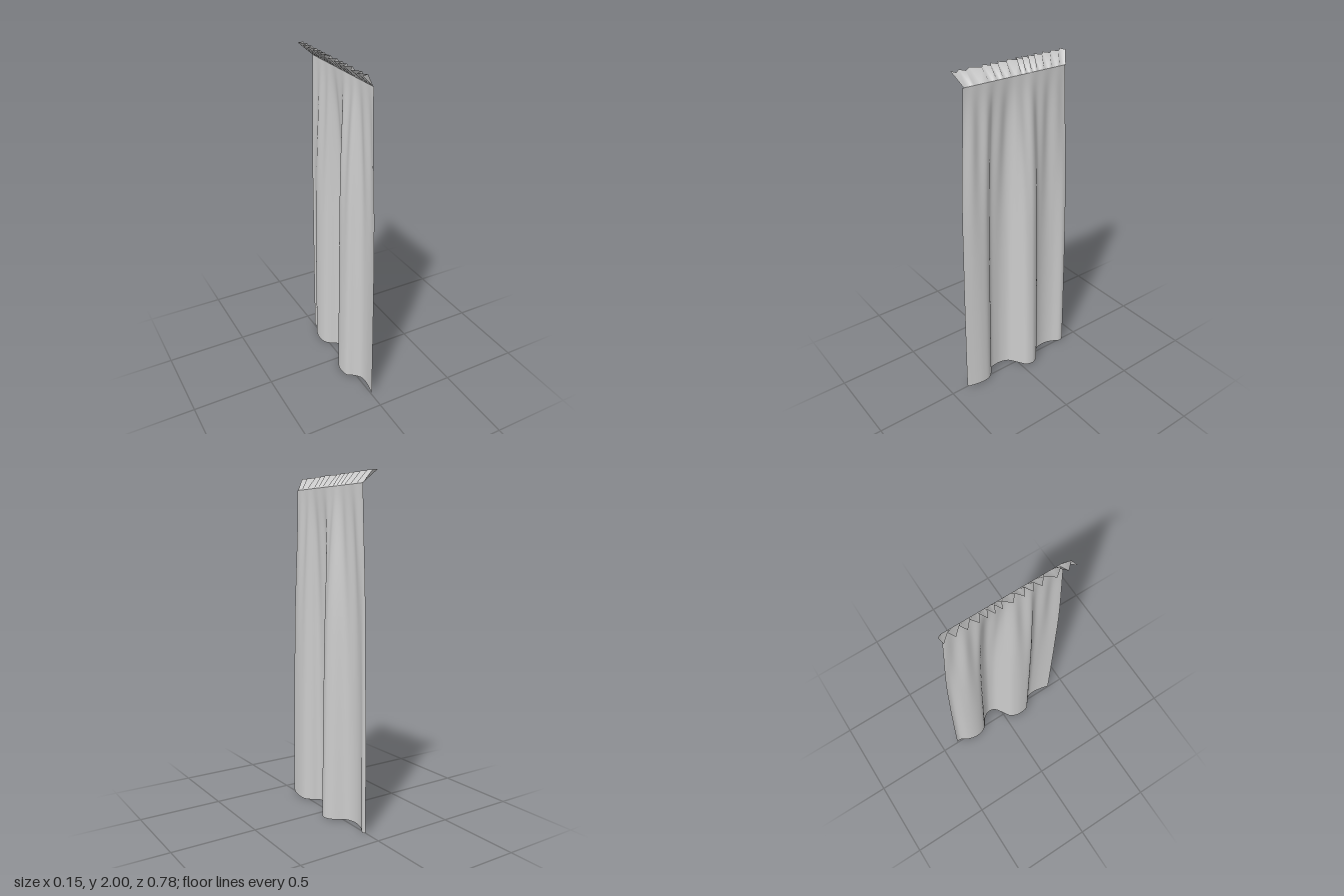
import * as THREE from 'three';

// Smooth curve through [a, b] pairs
const spline = (pairs) => new THREE.SplineCurve(pairs.map(([a, b]) => new THREE.Vector2(a, b)));

// Indexed sheet from a grid of points, point(col, row) -> [x, y, z]
function sheet(cols, rows, point) {
  const pos = [], idx = [];
  for (let j = 0; j <= rows; j++) {
    for (let i = 0; i <= cols; i++) pos.push(...point(i, j));
  }
  for (let j = 0; j < rows; j++) {
    for (let i = 0; i < cols; i++) {
      const a = j * (cols + 1) + i, b = a + 1, c = a + cols + 1, d = c + 1;
      idx.push(a, c, b, b, c, d);
    }
  }
  const geo = new THREE.BufferGeometry();
  geo.setAttribute('position', new THREE.Float32BufferAttribute(pos, 3));
  geo.setIndex(idx);
  geo.computeVertexNormals();
  return geo;
}

export function createModel() {
  const model = new THREE.Group();
  const fabric = new THREE.MeshStandardMaterial({ color: 0xcccccc, side: THREE.DoubleSide });
  fabric.name = 'greyFabric';

  const TOP = 1.93;

  // Hem seen from above: [x, z]
  const hem = spline([
    [0.005, -0.39], [0.008, -0.36], [-0.02, -0.31], [-0.033, -0.26], [-0.03, -0.21],
    [-0.01, -0.17], [0.045, -0.13], [0.068, -0.1], [0.075, -0.07], [0.06, -0.03],
    [0.01, 0.005], [-0.035, 0.035], [-0.055, 0.075], [-0.06, 0.12], [-0.05, 0.17],
    [-0.01, 0.2], [0.018, 0.235], [0.024, 0.28], [0.018, 0.33], [0.003, 0.393],
  ]);
  // From hem to heading tape, evenly spaced in height: [fold depth, width scale]
  const hang = spline([
    [1, 1], [0.95, 0.995], [0.9, 0.985], [0.84, 0.975], [0.78, 0.96],
    [0.69, 0.945], [0.52, 0.915], [0.28, 0.878], [0, 0.85],
  ]);

  // Hanging cloth with deep folds that flatten towards the top
  const COLS = 120, ROWS = 40;
  const cloth = sheet(COLS, ROWS, (i, j) => {
    const u = i / COLS, v = j / ROWS;
    const p = hem.getPoint(u), h = hang.getPoint(v);
    // Small gathers just below the tape
    const gather = 0.005 * Math.sin(p.y * 58 + 1) * Math.sin(Math.PI * Math.pow(v, 4));
    // Rounded lower corners
    const edge = Math.max(0, 0.015 - (0.393 - Math.abs(p.y)));
    const lift = 0.015 - Math.sqrt(0.015 ** 2 - Math.min(edge, 0.015) ** 2);
    return [p.x * h.x + gather, Math.max(TOP * v, lift), p.y * h.y];
  });
  const drape = new THREE.Mesh(cloth, fabric);
  drape.name = 'drape';
  model.add(drape);

  // Pleated heading, leaning back and zigzagging along its upper edge
  const pleatZ = [
    -0.363, -0.355, -0.315, -0.293, -0.255, -0.233, -0.2, -0.172, -0.15, -0.13, -0.11, -0.09,
    -0.07, -0.05, -0.035, 0.005, 0.035, 0.065, 0.09, 0.11, 0.135, 0.16, 0.19, 0.24,
    0.285, 0.303, 0.342, 0.353,
  ];
  const last = pleatZ.length - 1;
  const ruffle = sheet(last, 1, (i, j) => {
    const z = pleatZ[i];
    if (j === 0) return [0, TOP, z * 0.925];
    return [i % 2 ? -0.077 : -0.04, 2, z];
  });
  const heading = new THREE.Mesh(ruffle, fabric);
  heading.name = 'pleatedHeading';
  model.add(heading);

  return model;
}
